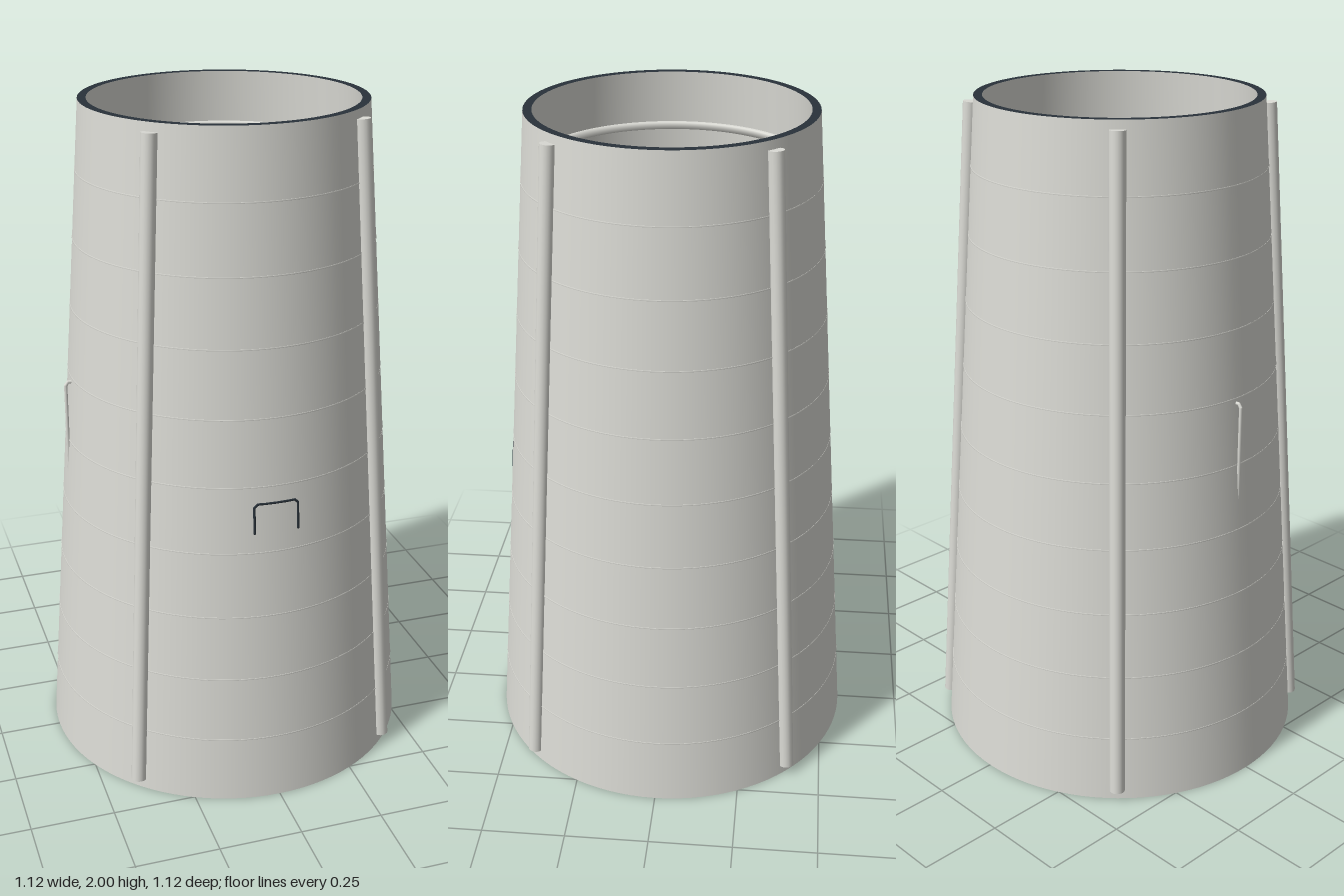
import * as THREE from 'three';

const V = (x, y, z) => new THREE.Vector3(x, y, z);
const wallR = (y) => 0.561 - 0.073 * y; // outer radius of the tapered shell
const T = 0.025; // wall thickness

export function createModel() {
  const model = new THREE.Group();
  const mat = (name, color) => new THREE.MeshStandardMaterial({ name, color });
  const grey = mat('light grey metal', 0xdbdbd5);
  const dark = mat('dark rim', 0x29323a);

  const add = (name, geo, m = grey, parent = model) => {
    const mesh = new THREE.Mesh(geo, m);
    mesh.name = name;
    parent.add(mesh);
    return mesh;
  };
  const lathe = (pts, seg = 96) =>
    new THREE.LatheGeometry(pts.map(([r, y]) => new THREE.Vector2(r, y)), seg);
  // straight capped rod between two points
  const rod = (name, a, b, r, m = grey, parent = model, r2 = r, seg = 16) => {
    const mesh = add(name, new THREE.CylinderGeometry(r2, r, a.distanceTo(b), seg), m, parent);
    mesh.position.copy(a).add(b).multiplyScalar(0.5);
    mesh.quaternion.setFromUnitVectors(V(0, 1, 0), b.clone().sub(a).normalize());
  };
  // bent pipe: rods joined by ball elbows
  const pipe = (name, pts, r, m = grey, parent = model) => {
    const g = new THREE.Group();
    g.name = name;
    parent.add(g);
    pts.forEach((p, i) => {
      if (i) rod(name + 'Run', pts[i - 1], p, r, m, g, r, 10);
      add(name + 'Elbow', new THREE.SphereGeometry(r, 10, 8), m, g).position.copy(p);
    });
  };

  // Hollow tapered shell with dark end faces
  add('shellOutside', lathe([[wallR(0), 0], [wallR(2), 2]]));
  add('shellInside', lathe([[wallR(2) - T, 2], [wallR(0) - T, 0]]));
  add('topRim', lathe([[wallR(2), 2], [wallR(2) - T, 2]]), dark);
  add('bottomRim', lathe([[wallR(0) - T, 0], [wallR(0), 0]]), dark);

  // Raised panel seams
  for (let i = 1; i < 10; i++) {
    const y = i * 0.2, h = 0.002, o = 0.001;
    add('panelSeam', lathe([
      [wallR(y - h), y - h], [wallR(y - h) + o, y - h],
      [wallR(y + h) + o, y + h], [wallR(y + h), y + h],
    ]));
  }

  // Four raceways running up the shell
  for (const sx of [-1, 1]) {
    for (const sz of [-1, 1]) {
      rod('raceway', V(sx * 0.397, 0.03, sz * 0.397), V(sx * 0.3, 1.975, sz * 0.3), 0.023);
    }
  }

  // Hatch outline, nearly flush with the front of the shell
  const onWall = ([x, y]) => V(x, y, Math.sqrt(wallR(y) ** 2 - x * x) - 0.003);
  pipe('hatchOutline', [
    [-0.065, 0.86], [-0.065, 0.938], [-0.055, 0.948], [-0.028, 0.948], [0, 0.948],
    [0.028, 0.948], [0.055, 0.948], [0.065, 0.938], [0.065, 0.86],
  ].map(onWall), 0.0048, dark);

  // External line on the right side
  pipe('sideLine', [
    V(-0.46, 1.185, 0), V(-0.484, 1.185, 0), V(-0.491, 1.175, 0), V(-0.491, 0.86, 0),
  ], 0.005);

  // Inner support ring
  add('supportRing', lathe([[0.404, 1.825], [0.385, 1.825], [0.385, 1.845], [0.404, 1.845]].reverse()));

  // Domed tank inside the shell: shallow lower dome, round upper dome
  const R = 0.4, low = 0.251, drop = 0.22, high = 1.43;
  const quarter = Array.from({ length: 21 }, (_, i) => (i / 20) * Math.PI / 2);
  add('tank', lathe([
    ...quarter.map((a) => [R * Math.sin(a), low - drop * Math.cos(a)]),
    ...quarter.map((a) => [R * Math.cos(a), high + R * Math.sin(a)]),
  ], 72));

  // Vent line above the tank
  pipe('ventLine', [V(-0.41, 1.73, 0), V(-0.305, 1.73, 0), V(-0.305, 1.66, 0)], 0.0055);

  // Drain hub and four outlet fittings beneath the tank
  rod('drainHub', V(0, 0.005, 0), V(0, 0.05, 0), 0.024);
  add('drainCollar', new THREE.CylinderGeometry(0.034, 0.034, 0.012, 20)).position.y = 0.028;
  for (let i = 0; i < 4; i++) {
    const fitting = new THREE.Group();
    fitting.name = 'outletFitting';
    fitting.rotation.y = i * Math.PI / 2 - 0.14;
    model.add(fitting);
    pipe('feedPipe', [V(0, 0.028, 0), V(0.16, 0.035, 0), V(0.2, 0.05, 0), V(0.36, 0.14, 0)], 0.009, grey, fitting);
    rod('outletBody', V(0.185, 0.03, 0), V(0.185, 0.075, 0), 0.013, grey, fitting);
    rod('outletNozzle', V(0.185, 0.002, 0), V(0.185, 0.034, 0), 0.018, grey, fitting, 0.01);
  }
  const valve = add('valve', new THREE.CapsuleGeometry(0.02, 0.035, 6, 16));
  valve.position.set(0.02, 0.07, -0.24);

  // Feed line to the right wall with two drop legs
  pipe('feedLine', [V(-0.2, 0.06, 0), V(-0.47, 0.28, 0), V(-0.47, 0.01, 0)], 0.007);
  pipe('dropLeg', [V(-0.42, 0.24, 0), V(-0.42, 0.01, 0)], 0.007);

  return model;
}
